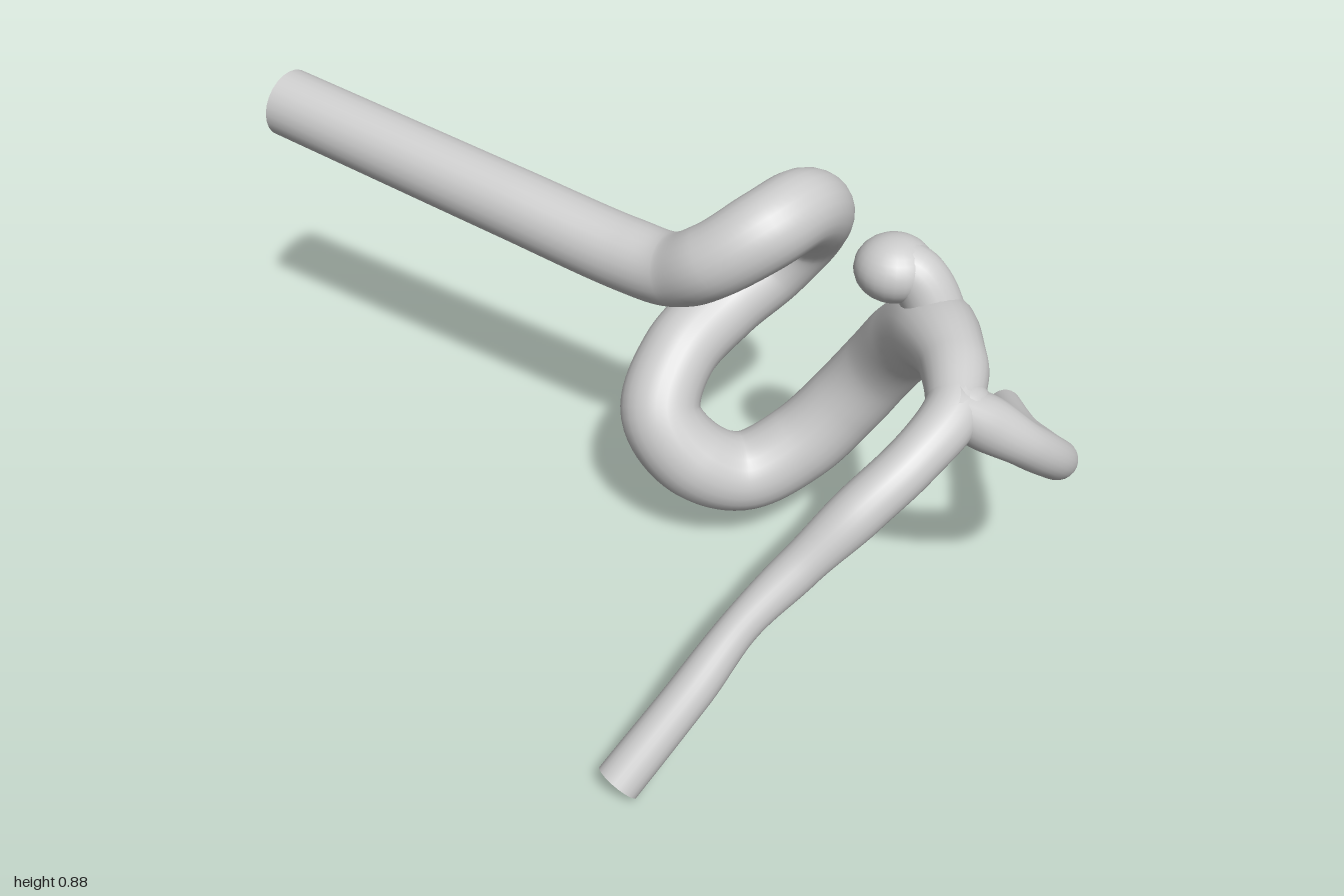
import * as THREE from 'three';

const material = new THREE.MeshStandardMaterial({ color: 0xcccccc });
const SIDES = 24;

// Flat disc closing a vessel end, facing along dir
function endCap(centre, dir, radius) {
  const cap = new THREE.Mesh(new THREE.CircleGeometry(radius, SIDES), material);
  cap.name = 'endCap';
  cap.quaternion.setFromUnitVectors(new THREE.Vector3(0, 0, 1), dir);
  cap.position.copy(centre);
  return cap;
}

// Smooth tube through [x, y, z, radius] stations, with the radius blended between them
function vessel(name, stations, segments, capStart = true, capEnd = true) {
  const curve = new THREE.CatmullRomCurve3(stations.map(([x, y, z]) => new THREE.Vector3(x, y, z)));
  const geometry = new THREE.TubeGeometry(curve, segments, 1, SIDES);
  const pos = geometry.attributes.position;
  const v = new THREE.Vector3();
  for (let i = 0; i <= segments; i++) {
    const centre = curve.getPointAt(i / segments);
    const s = curve.getUtoTmapping(i / segments) * (stations.length - 1);
    const k = Math.min(Math.floor(s), stations.length - 2);
    const f = THREE.MathUtils.smoothstep(s - k, 0, 1);
    const radius = THREE.MathUtils.lerp(stations[k][3], stations[k + 1][3], f);
    for (let j = 0; j <= SIDES; j++) {
      const n = i * (SIDES + 1) + j;
      v.fromBufferAttribute(pos, n).sub(centre).multiplyScalar(radius).add(centre);
      pos.setXYZ(n, v.x, v.y, v.z);
    }
  }
  const group = new THREE.Group();
  group.name = name;
  const wall = new THREE.Mesh(geometry, material);
  wall.name = name + 'Wall';
  group.add(wall);
  if (capStart) group.add(endCap(curve.getPointAt(0), curve.getTangentAt(0).negate(), stations[0][3]));
  if (capEnd) group.add(endCap(curve.getPointAt(1), curve.getTangentAt(1), stations.at(-1)[3]));
  return group;
}

// Ellipsoid used for the bulge and to blend junctions
function blob(name, centre, radii) {
  const mesh = new THREE.Mesh(new THREE.SphereGeometry(1, SIDES, 16), material);
  mesh.name = name;
  mesh.position.set(...centre);
  mesh.scale.set(...radii);
  return mesh;
}

export function createModel() {
  const model = new THREE.Group();
  model.name = 'branchingVessel';

  // Straight inlet, upper coil, lower coil, then forward to the fork
  model.add(vessel('mainVessel', [
    [0.125, 0.744, -0.99, 0.082], [0.132, 0.707, -0.66, 0.082], [0.139, 0.67, -0.33, 0.082],
    [0.145, 0.637, -0.02, 0.082], [0.138, 0.645, 0.1, 0.08], [0.13, 0.705, 0.2, 0.082],
    [0.19, 0.775, 0.285, 0.086], [0.28, 0.79, 0.31, 0.086], [0.37, 0.745, 0.3, 0.086],
    [0.425, 0.66, 0.25, 0.088], [0.395, 0.565, 0.19, 0.086], [0.29, 0.5, 0.14, 0.084],
    [0.15, 0.43, 0.11, 0.084], [0.06, 0.33, 0.125, 0.088], [0.075, 0.235, 0.2, 0.09],
    [0.15, 0.187, 0.285, 0.088], [0.24, 0.25, 0.375, 0.088], [0.3, 0.36, 0.45, 0.086],
    [0.315, 0.47, 0.515, 0.084], [0.275, 0.585, 0.59, 0.085], [0.205, 0.665, 0.67, 0.085],
    [0.11, 0.668, 0.76, 0.066], [0.02, 0.64, 0.81, 0.055],
  ], 260, true, false));

  // Long branch falling away to the model's right
  model.add(vessel('rightBranch', [
    [0.08, 0.66, 0.78, 0.05], [0.01, 0.636, 0.81, 0.056], [-0.1, 0.58, 0.79, 0.052],
    [-0.2, 0.505, 0.74, 0.052], [-0.29, 0.395, 0.67, 0.044], [-0.39, 0.295, 0.61, 0.038],
    [-0.5, 0.185, 0.57, 0.043], [-0.65, 0.033, 0.508, 0.045],
  ], 80, false, true));

  // Thinner branch hooking round the front to the model's left
  model.add(vessel('leftBranch', [
    [0.0, 0.655, 0.8, 0.045], [0.045, 0.613, 0.86, 0.055], [0.115, 0.545, 0.925, 0.045],
    [0.21, 0.468, 0.952, 0.042], [0.3, 0.405, 0.925, 0.041], [0.4, 0.345, 0.86, 0.04],
    [0.52, 0.285, 0.77, 0.037], [0.663, 0.23, 0.672, 0.037],
  ], 80, false, true));

  // Rounded bulge on a short neck above the bend
  model.add(vessel('bulgeNeck', [
    [0.21, 0.66, 0.675, 0.075], [0.215, 0.72, 0.655, 0.06], [0.21, 0.77, 0.62, 0.058],
    [0.2, 0.785, 0.58, 0.06],
  ], 24, false, false));
  model.add(blob('bulge', [0.203, 0.778, 0.573], [0.082, 0.068, 0.08]));

  // Soft blend where the two branches part
  model.add(blob('forkBlend', [0.03, 0.635, 0.82], [0.062, 0.056, 0.058]));
  return model;
}
